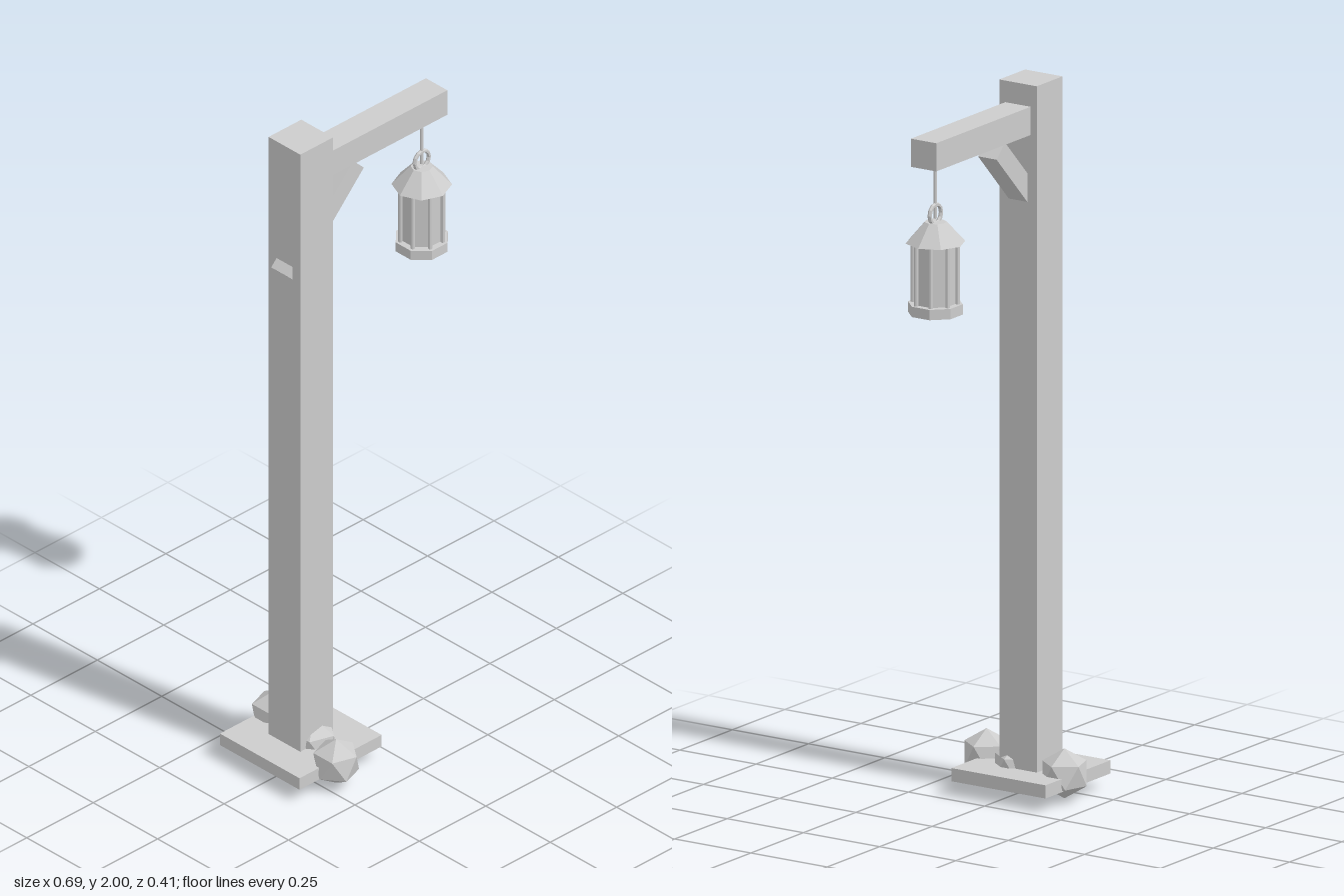
import * as THREE from 'three';

export function createModel() {
  const model = new THREE.Group();
  model.name = 'lanternPost';
  const grey = new THREE.MeshStandardMaterial({ color: 0xcccccc });
  grey.name = 'plainGrey';
  grey.flatShading = true;

  const Z = -0.019; // shared centre plane of post, arm and lantern

  function add(name, geometry, x, y, z, parent = model) {
    const mesh = new THREE.Mesh(geometry, grey);
    mesh.name = name;
    mesh.position.set(x, y, z);
    parent.add(mesh);
    return mesh;
  }

  // Timber frame
  add('basePlate', new THREE.BoxGeometry(0.309, 0.037, 0.309), -0.193, 0.058, Z);
  add('post', new THREE.BoxGeometry(0.123, 1.94, 0.123), -0.193, 1.03, Z);
  add('arm', new THREE.BoxGeometry(0.45, 0.079, 0.083), 0.093, 1.9, Z);
  const brace = add('brace', new THREE.BoxGeometry(0.359, 0.056, 0.061), -0.13, 1.713, Z);
  brace.rotation.z = THREE.MathUtils.degToRad(46);

  // Rocks: icosahedra standing on a corner
  const rock = new THREE.IcosahedronGeometry(0.07, 0);
  rock.rotateZ(-Math.atan(2 / (1 + Math.sqrt(5))));
  [[-0.167, 0.077, -0.147], [-0.18, 0.07, 0.017], [-0.217, 0.077, 0.143]]
    .forEach(([x, y, z], i) => add('rock' + (i + 1), rock, x, y, z));

  // Hanging lantern
  const lantern = new THREE.Group();
  lantern.name = 'lantern';
  lantern.position.set(0.262, 0, Z);
  model.add(lantern);

  const turn = Math.PI / 8;
  const octagon = (top, bottom, height, angle = 0) =>
    new THREE.CylinderGeometry(top, bottom, height, 8).rotateY(angle);

  add('hangingRod', octagon(0.005, 0.005, 0.15), 0, 1.785, 0, lantern);
  add('ring', new THREE.TorusGeometry(0.027, 0.006, 6, 12), 0, 1.722, 0, lantern);
  add('roof', octagon(0.03, 0.082, 0.058), 0, 1.672, 0, lantern);
  add('glass', octagon(0.056, 0.056, 0.18, turn), 0, 1.556, 0, lantern);
  add('lanternBase', octagon(0.0757, 0.0757, 0.029, turn), 0, 1.459, 0, lantern);

  // Bars around the glass
  const bar = octagon(0.006, 0.006, 0.18);
  for (let i = 0; i < 8; i++) {
    const a = turn + (i * Math.PI) / 4;
    add('bar' + (i + 1), bar, 0.062 * Math.cos(a), 1.556, 0.062 * Math.sin(a), lantern);
  }

  return model;
}
